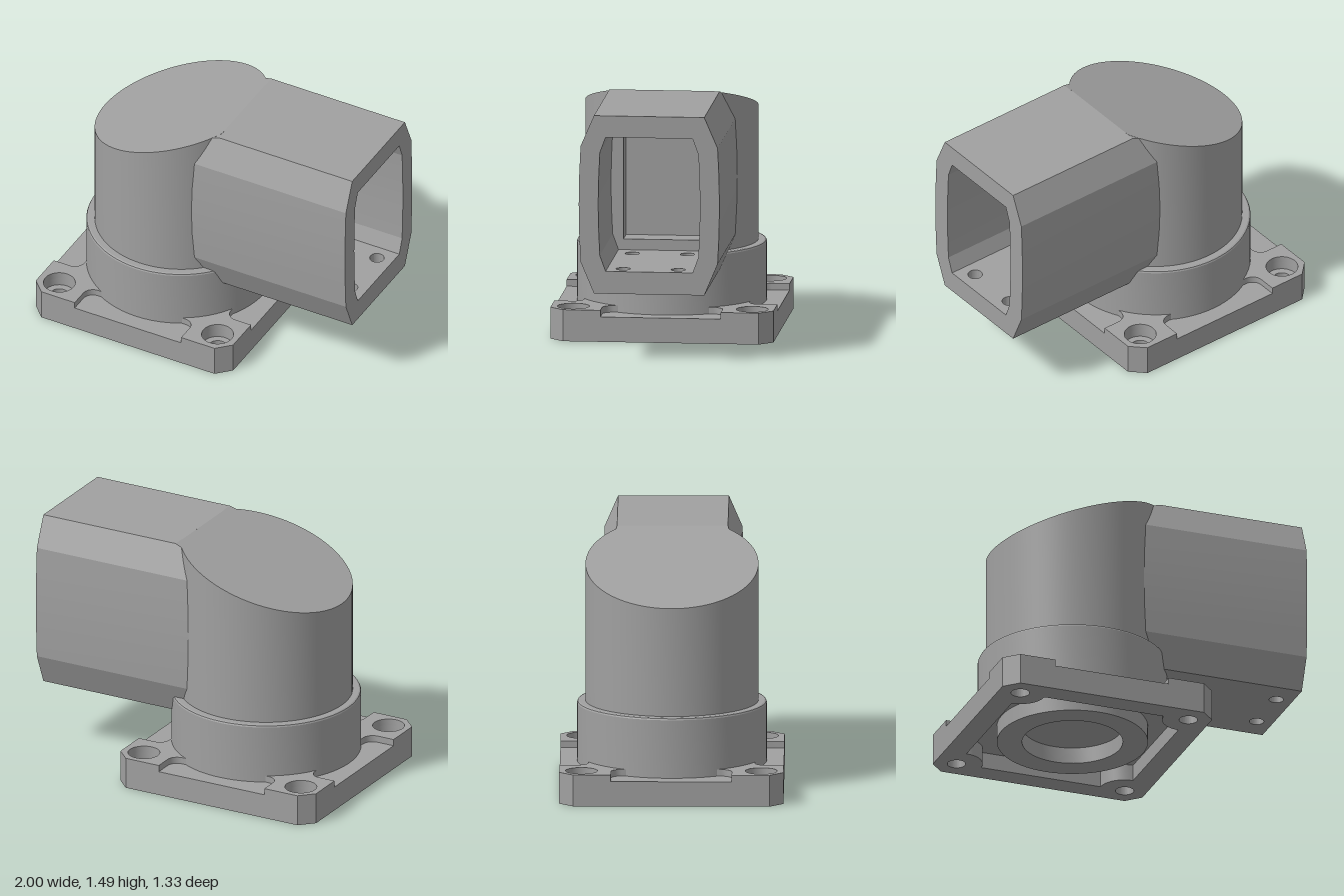
import * as THREE from 'three';
import { toCreasedNormals } from 'three/addons/utils/BufferGeometryUtils.js';

const CX = -0.335;                                   // axis of base and body
const slantY = x => 1.17 + 0.3333 * (x + 0.85);      // sloping roof of the body
const slantX = y => (y - 1.17) / 0.3333 - 0.85;

const poly = pts => new THREE.Shape(pts.map(p => new THREE.Vector2(p[0], p[1])));
const circle = (x, y, r) => new THREE.Path().absarc(x, y, r, 0, Math.PI * 2, true);
const arc = (cx, cy, r, a0, a1, n) => Array.from({ length: n + 1 }, (_, i) => {
  const a = a0 + (a1 - a0) * i / n;
  return [cx + r * Math.cos(a), cy + r * Math.sin(a)];
});
const extrude = (shape, depth) =>
  new THREE.ExtrudeGeometry(shape, { depth, bevelEnabled: false, curveSegments: 32 });

// Upright slab: outline in plan, from y0 to y1
function slab(shape, y0, y1) {
  return extrude(shape, y1 - y0).rotateX(-Math.PI / 2).translate(0, y0, 0);
}
// Bar along x: outline in (z, y), from x0 to x1
function bar(shape, x0, x1) {
  return extrude(shape, x1 - x0).rotateY(Math.PI / 2).translate(x0, 0, 0);
}
// Repeat one side's points four times around the centre
function fourSides(pts) {
  const out = [];
  for (let k = 0; k < 4; k++) {
    const c = [1, 0, -1, 0][k], s = [0, 1, 0, -1][k];
    for (const [u, v] of pts) out.push([u * c - v * s, u * s + v * c]);
  }
  return out;
}

export function createModel() {
  const group = new THREE.Group();
  const grey = new THREE.MeshStandardMaterial({ color: 0xa0a0a0 });
  grey.name = 'castGrey';
  const add = (name, geo, parent = group) => {
    const mesh = new THREE.Mesh(toCreasedNormals(geo, 0.3), grey);
    mesh.name = name;
    parent.add(mesh);
    return mesh;
  };

  // Mounting flange, built in three layers
  const flange = new THREE.Group();
  flange.name = 'flange';
  flange.position.x = CX;
  group.add(flange);
  const H = 0.667, C = 0.585, P = 0.535;
  const drill = (shape, r) => {
    for (const x of [-P, P]) for (const y of [-P, P]) shape.holes.push(circle(x, y, r));
    return shape;
  };
  const plate = () => poly(fourSides([[H, -C], [H, C]]));

  // Lower rim with a recess that steps around the bolt bosses
  const rim = drill(plate(), 0.055);
  const q = 0.53, b = 0.15;
  rim.holes.push(poly(fourSides([[q, -q + b], [q, q - b],
    ...arc(q, q, b, -Math.PI / 2, -Math.PI, 10).slice(1, -1)])));
  add('flangeRim', slab(rim, 0, 0.1), flange);
  add('flangeWeb', slab(drill(plate(), 0.095), 0.1, 0.15), flange);

  // Upper layer with a shallow notch in each side
  const notch = arc(0.56, -0.295, 0.065, -Math.PI / 2, -Math.PI, 8);
  const side = [[H, -C], [H, -0.36], ...notch,
    ...notch.map(([u, v]) => [u, -v]).reverse(), [H, 0.36], [H, C]];
  add('flangeTop', slab(drill(poly(fourSides(side)), 0.095), 0.15, 0.19), flange);

  // Spigot ring under the flange
  const ring = new THREE.Shape().absarc(0, 0, 0.45, 0, Math.PI * 2, false);
  ring.holes.push(circle(0, 0, 0.3));
  add('spigotRing', slab(ring, 0, 0.1), flange);

  // Collar with a softened top edge
  const collar = [[0, 0.14], [0.565, 0.14], [0.565, 0.502], [0.561, 0.511], [0.552, 0.515], [0, 0.515]]
    .map(p => new THREE.Vector2(p[0], p[1]));
  add('collar', new THREE.LatheGeometry(collar, 72), flange);

  // Round body, flat where it meets the arm, with a sloping roof
  const R = 0.515, flatX = 0.095, a = Math.acos((flatX - CX) / R);
  const body = slab(poly(arc(CX, 0, R, a, Math.PI * 2 - a, 72)), 0.5, 1.4);
  const bp = body.attributes.position;
  for (let i = 0; i < bp.count; i++) {
    if (bp.getY(i) > 1) bp.setY(i, slantY(bp.getX(i)));
  }
  add('body', body);

  // Hollow arm: two bowed side walls, trimmed to the roof slope
  const arm = new THREE.Group();
  arm.name = 'arm';
  group.add(arm);
  const wall = [[0.26, 0.41], [0.33, 0.41], [0.41, 0.6], [0.418, 0.77], [0.421, 0.947], [0.418, 1.125],
    [0.41, 1.3], [0.33, 1.485], [0.26, 1.485], [0.26, 1.355], [0.295, 1.26], [0.302, 1.1], [0.305, 0.947],
    [0.302, 0.8], [0.295, 0.64], [0.26, 0.545]];
  for (const s of [-1, 1]) {
    const geo = bar(poly(wall.map(([z, y]) => [z * s, y])), -0.46, 1);
    const p = geo.attributes.position;
    for (let i = 0; i < p.count; i++) {
      if (p.getX(i) < 0 && p.getY(i) > 1.29) p.setX(i, slantX(p.getY(i)) + 0.003);
    }
    add(s < 0 ? 'armWallLeft' : 'armWallRight', geo, arm);
  }

  // Floor, ceiling and roof of the arm, with screw holes
  const panel = (holes, r) => {
    const shape = poly([[flatX, -0.26], [1, -0.26], [1, 0.26], [flatX, 0.26]]);
    for (const x of holes) for (const z of [-1, 1]) shape.holes.push(circle(x, z * 0.165, r));
    return shape;
  };
  add('armFloor', slab(panel([0.37, 0.9], 0.043), 0.41, 0.545), arm);
  add('armCeiling', slab(panel([0.71], 0.062), 1.355, 1.43), arm);
  add('armRoof', slab(panel([], 0), 1.43, 1.485), arm);

  // Frame at the inner end of the arm's cavity
  const frame = poly([[-0.31, 0.53], [0.31, 0.53], [0.31, 1.37], [-0.31, 1.37]]);
  frame.holes.push(poly([[-0.23, 0.61], [-0.23, 1.285], [0.23, 1.285], [0.23, 0.61]]));
  add('cavityFrame', bar(frame, flatX, 0.25), arm);

  return group;
}
